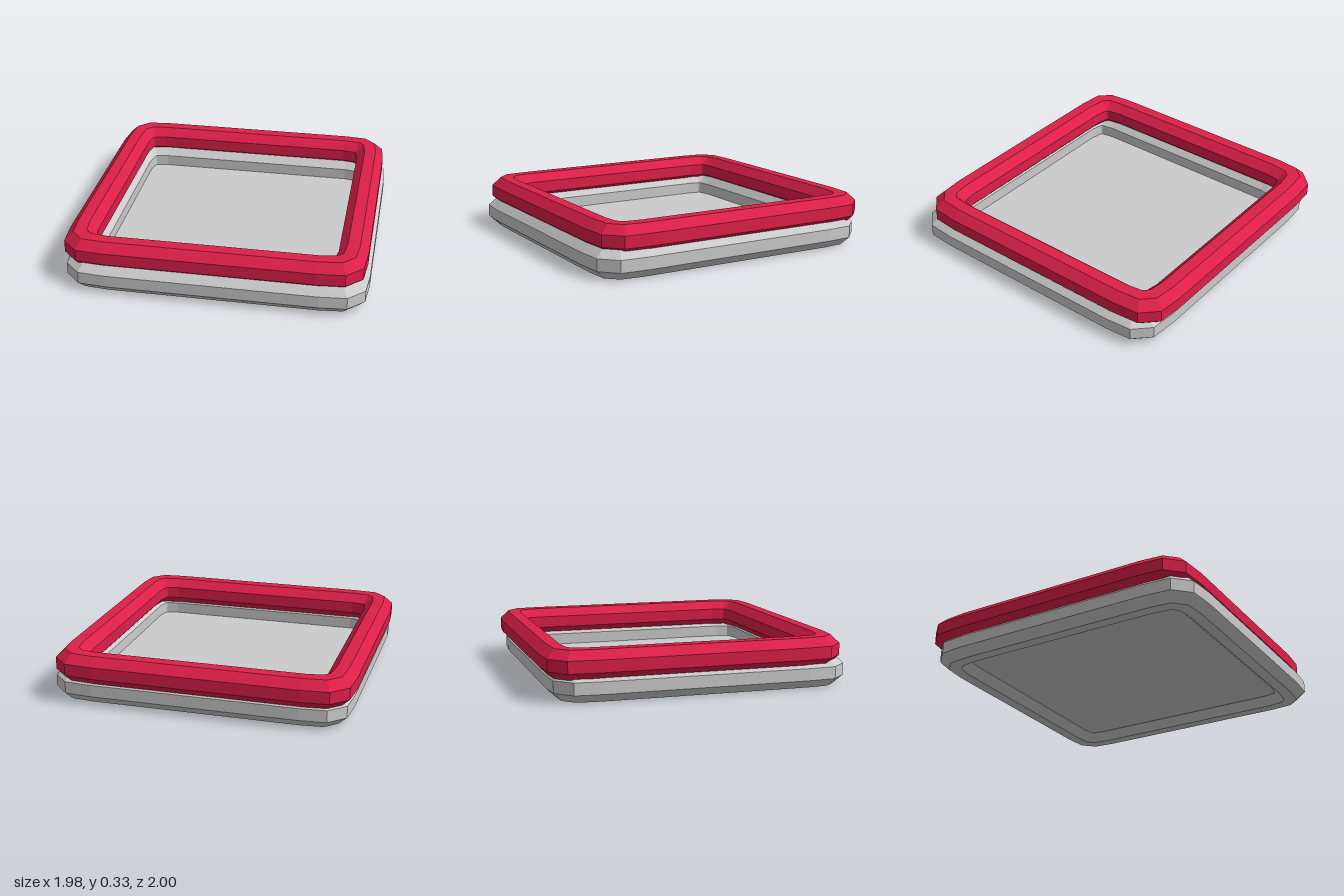
import * as THREE from 'three';

const PROFILE_SIDES = 8;
const PROFILE_RADIUS = 0.103;
const PATH_RADIUS = 0.883;
const HALF_HEIGHT = PROFILE_RADIUS * Math.cos(Math.PI / 8);

// Rounded-square outline: one corner of four points, turned four times
function outline(a) {
  const c = 0.765 + 0.5 * (a - 0.79);
  const corner = [[a, 0.68], [a - 0.015, c], [c, a - 0.015], [0.68, a]];
  const points = [];
  for (let q = 0; q < 4; q++) {
    for (const [x, z] of corner) {
      points.push([[x, z], [-z, x], [-x, -z], [z, -x]][q]);
    }
  }
  return points;
}

// Octagonal bar swept around the rounded square
function frameGeometry() {
  const rings = [];
  for (let j = 0; j < PROFILE_SIDES; j++) {
    const t = ((j - 0.5) / PROFILE_SIDES) * Math.PI * 2;
    const y = Math.sin(t) * PROFILE_RADIUS;
    rings.push(outline(PATH_RADIUS + Math.cos(t) * PROFILE_RADIUS).map(([x, z]) => [x, y, z]));
  }
  const n = rings[0].length;
  const index = [];
  for (let j = 0; j < PROFILE_SIDES; j++) {
    const k = (j + 1) % PROFILE_SIDES;
    for (let i = 0; i < n; i++) {
      const m = (i + 1) % n;
      const a = j * n + i, b = k * n + i, c = k * n + m, d = j * n + m;
      index.push(a, b, c, a, c, d);
    }
  }
  const geometry = new THREE.BufferGeometry();
  geometry.setAttribute('position', new THREE.Float32BufferAttribute(rings.flat(2), 3));
  geometry.setIndex(index);
  geometry.computeVertexNormals();
  return geometry;
}

export function createModel() {
  const model = new THREE.Group();
  const grey = new THREE.MeshStandardMaterial({ color: 0xcccccc, flatShading: true });
  const red = new THREE.MeshStandardMaterial({ color: 0xdc1f48, flatShading: true });
  const geometry = frameGeometry();

  // Two equal frames, the upper one shifted slightly back and to the side
  const lower = new THREE.Mesh(geometry, grey);
  lower.name = 'lowerFrame';
  lower.position.set(0.01, HALF_HEIGHT, 0.02);

  const upper = new THREE.Mesh(geometry, red);
  upper.name = 'upperFrame';
  upper.position.set(-0.01, HALF_HEIGHT + 0.138, -0.02);

  // Thin floor closing the lower frame
  const floor = new THREE.Mesh(
    new THREE.PlaneGeometry(1.59, 1.59).rotateX(-Math.PI / 2),
    new THREE.MeshStandardMaterial({ color: 0xcccccc, side: THREE.DoubleSide })
  );
  floor.name = 'floor';
  floor.position.set(0.01, 0.058, 0.02);

  model.add(lower, upper, floor);
  return model;
}
